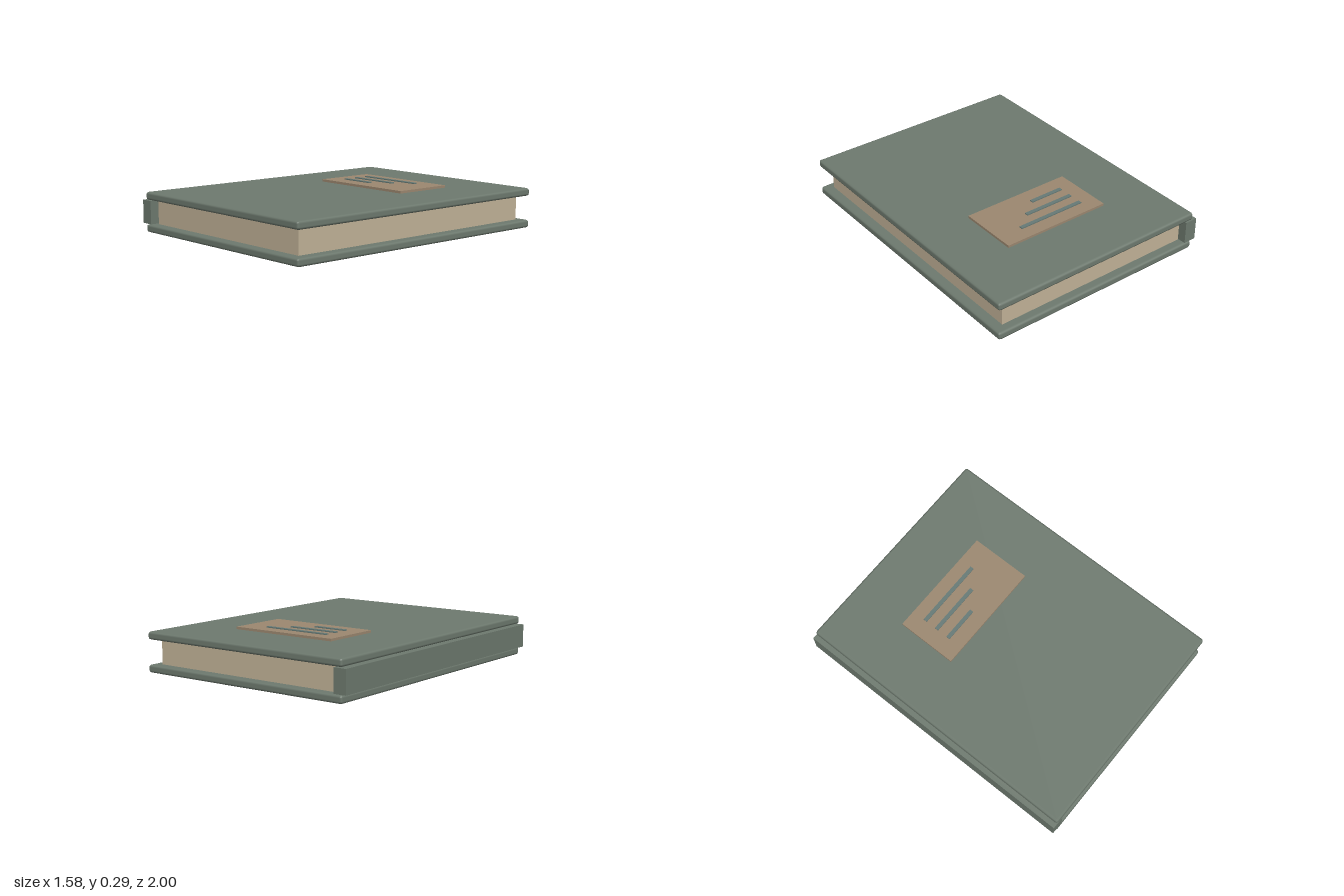
import * as THREE from 'three';
import { RoundedBoxGeometry } from 'three/addons/geometries/RoundedBoxGeometry.js';

function mat(name, color) {
  const m = new THREE.MeshStandardMaterial({ color });
  m.name = name;
  return m;
}

export function createModel() {
  const book = new THREE.Group();
  book.name = 'book';

  const cloth = mat('greenCloth', 0x6e7a6f);
  const paper = mat('paper', 0xc2b398);
  const tan = mat('labelTan', 0x9c8870);
  const ink = mat('inkGreen', 0x667a76);

  // Box given by its limits on each axis; a radius softens the edges
  function block(name, material, [x0, x1], [y0, y1], [z0, z1], radius = 0) {
    const size = [x1 - x0, y1 - y0, z1 - z0];
    const geometry = radius
      ? new RoundedBoxGeometry(...size, 1, radius)
      : new THREE.BoxGeometry(...size);
    const mesh = new THREE.Mesh(geometry, material);
    mesh.name = name;
    mesh.position.set((x0 + x1) / 2, (y0 + y1) / 2, (z0 + z1) / 2);
    book.add(mesh);
  }

  // Two boards with softened edges
  block('backCover', cloth, [-0.76, 0.785], [0, 0.052], [-1, 1], 0.016);
  block('frontCover', cloth, [-0.76, 0.785], [0.213, 0.265], [-1, 1], 0.016);

  // Spine and page block between the boards
  block('spine', cloth, [-0.79, -0.703], [0.057, 0.21], [-1, 1]);
  block('pages', paper, [-0.703, 0.718], [0.05, 0.215], [-0.94, 0.94]);

  // Raised label with three ruled lines of decreasing length
  block('label', tan, [-0.365, 0.4], [0.262, 0.281], [-0.59, -0.18]);
  [0.225, 0.105, -0.013].forEach((end, i) => {
    const z = -0.488 + i * 0.096;
    block('labelLine', ink, [-0.255, end], [0.28, 0.288], [z - 0.013, z + 0.013]);
  });

  return book;
}
